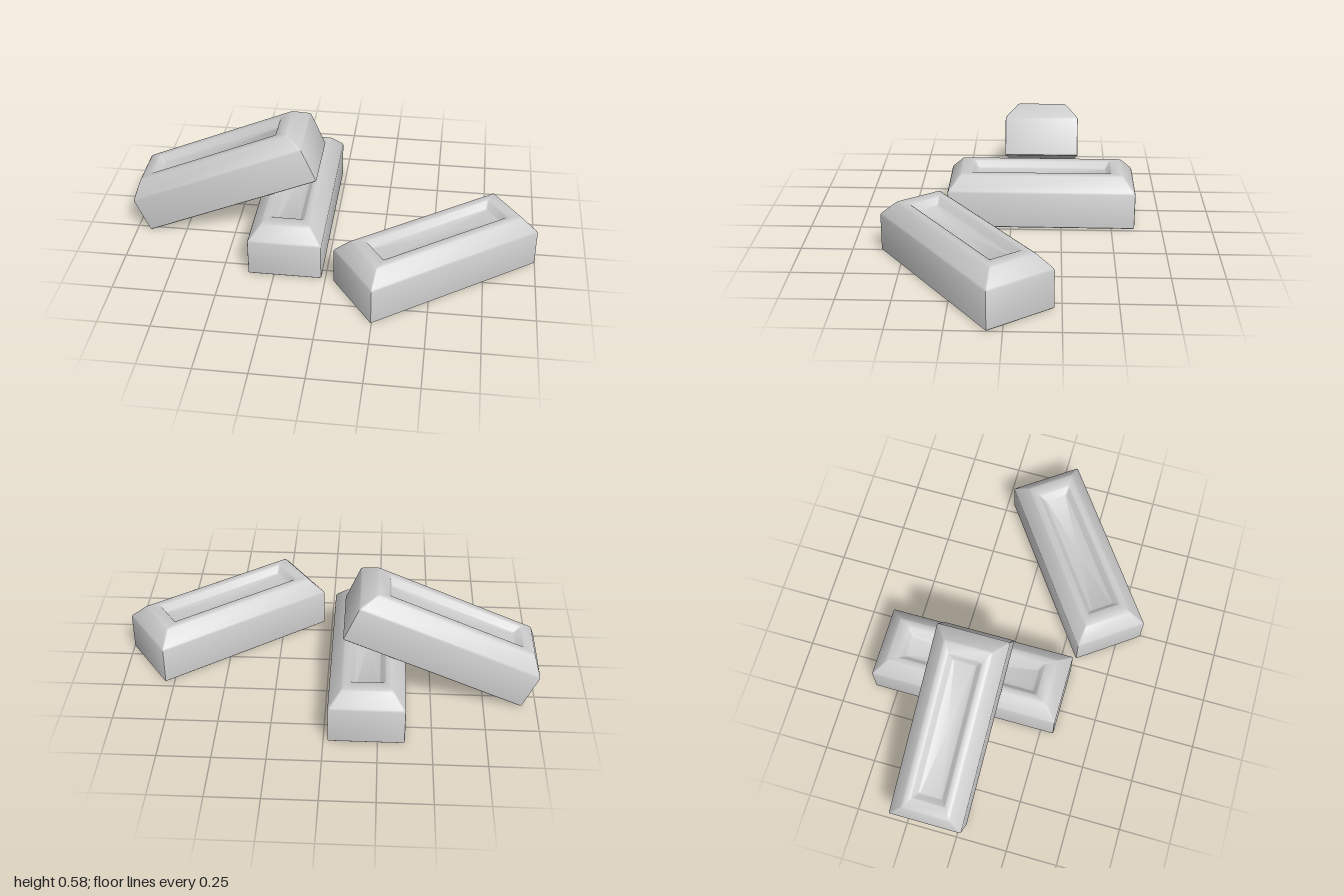
import * as THREE from 'three';
import { toCreasedNormals } from 'three/addons/utils/BufferGeometryUtils.js';

const HALF_LENGTH = 0.465, HALF_WIDTH = 0.1775, CORNER = 0.006;

// Cross-sections from the underside to the recess floor: [end inset, side inset, height]
const SECTIONS = [
  [0.004, 0.004, 0], [0, 0, 0.004],
  [0, 0, 0.183], [0.005, 0.005, 0.193],          // wall to slope
  [0.057, 0.057, 0.254], [0.066, 0.066, 0.26],   // slope to rim
  [0.114, 0.092, 0.26], [0.121, 0.099, 0.256],   // rim to recess
  [0.139, 0.117, 0.229], [0.145, 0.123, 0.225],  // recess wall to floor
];

// One rectangular loop with small rounded corners
function ring([endInset, sideInset, y]) {
  const points = [];
  const cx = HALF_LENGTH - endInset - CORNER, cz = HALF_WIDTH - sideInset - CORNER;
  [[1, 1], [-1, 1], [-1, -1], [1, -1]].forEach(([sx, sz], q) => {
    for (let i = 0; i <= 2; i++) {
      const a = (q + i / 2) * Math.PI / 2;
      points.push([sx * cx + CORNER * Math.cos(a), y, sz * cz + CORNER * Math.sin(a)]);
    }
  });
  return points;
}

function ingotGeometry() {
  const rings = SECTIONS.map(ring);
  const n = rings[0].length, last = rings.length - 1;
  const positions = [];
  const tri = (a, b, c) => positions.push(...a, ...b, ...c);
  for (let j = 0; j < n; j++) {
    const k = (j + 1) % n;
    for (let i = 0; i < last; i++) {
      const lo = rings[i], hi = rings[i + 1];
      tri(lo[j], hi[j], lo[k]);
      tri(hi[j], hi[k], lo[k]);
    }
    // underside and recess floor
    tri([0, 0, 0], rings[0][j], rings[0][k]);
    tri([0, SECTIONS[last][2], 0], rings[last][k], rings[last][j]);
  }
  const geometry = new THREE.BufferGeometry();
  geometry.setAttribute('position', new THREE.Float32BufferAttribute(positions, 3));
  return toCreasedNormals(geometry, 0.7);
}

export function createModel() {
  const group = new THREE.Group();
  group.name = 'ingotPile';
  const geometry = ingotGeometry();
  const material = new THREE.MeshStandardMaterial({ color: 0xcccccc });

  const addIngot = (name, position, turn, tilt) => {
    const mesh = new THREE.Mesh(geometry, material);
    mesh.name = name;
    mesh.position.set(...position);
    mesh.rotation.set(0, turn, tilt);
    group.add(mesh);
  };

  addIngot('flatIngot', [-0.1975, 0, -0.15], Math.PI / 2, 0);
  addIngot('leaningIngot', [-0.505, 0.183, -0.1475], 0, THREE.MathUtils.degToRad(23.2));
  addIngot('angledIngot', [0.52, 0, 0.197], THREE.MathUtils.degToRad(35.7), 0);
  return group;
}
